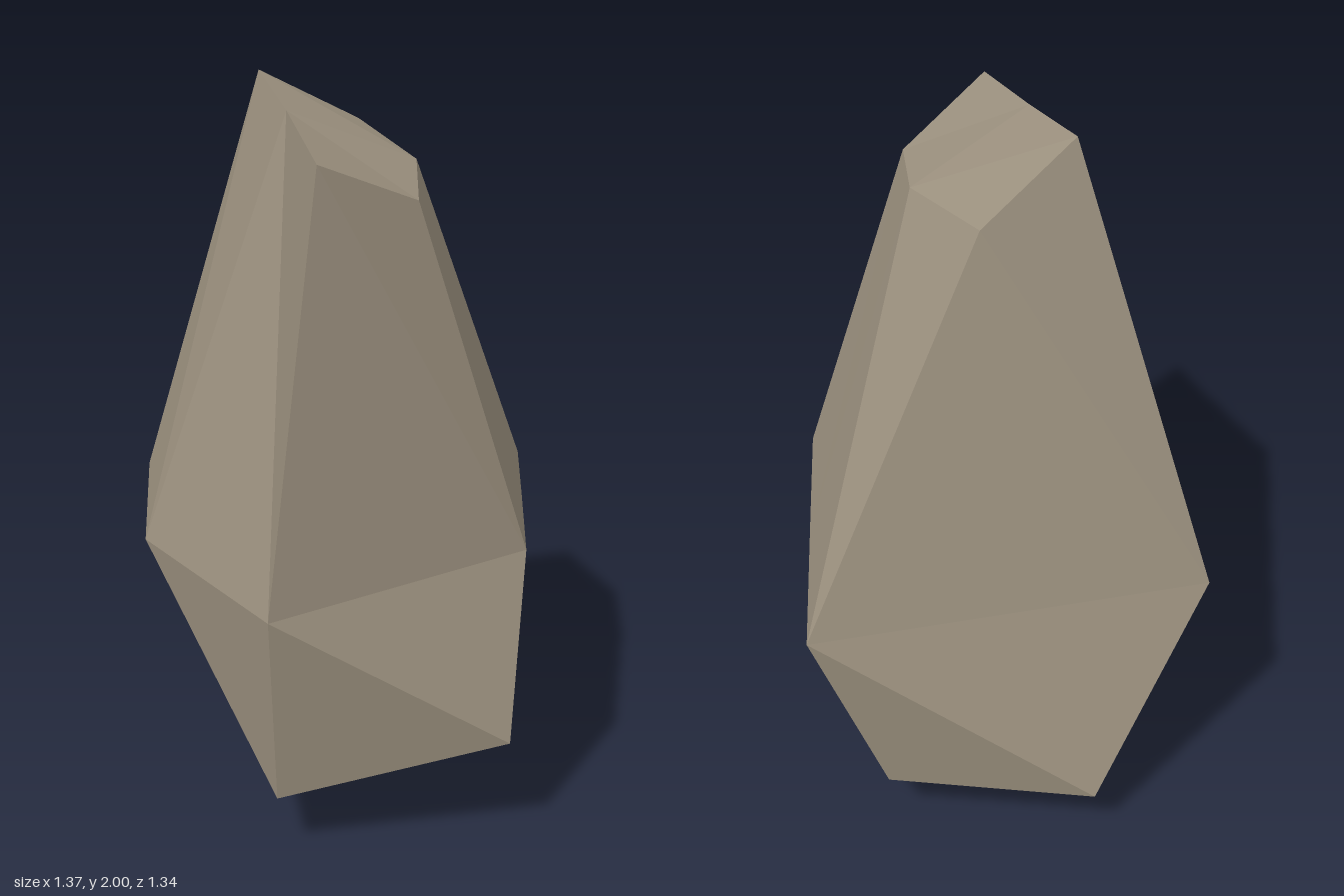
import * as THREE from 'three';

// Three six-cornered rings, each listed anticlockwise from above, starting front right.
const rings = [
  // top rim
  [[0.415, 1.875, 0.54], [0.43, 1.745, 0.215], [0.2, 1.79, 0], [-0.155, 1.84, -0.12], [-0.205, 2, 0.197], [0.085, 1.943, 0.35]],
  // waist
  [[0.365, 0.715, 0.672], [0.61, 0.8, -0.018], [0.29, 0.785, -0.345], [-0.03, 0.76, -0.672], [-0.685, 0.775, 0.25], [-0.24, 0.75, 0.6]],
  // foot
  [[0.3, 0.165, 0.595], [0.682, 0.3, 0.105], [0.232, 0, -0.2], [-0.135, 0.19, -0.48], [-0.612, 0.18, -0.13], [-0.156, 0.172, 0.232]],
];

// Triangles closing the top; the underside uses them reversed.
const cap = [[5, 0, 1], [5, 1, 2], [4, 5, 2], [4, 2, 3]];

function facetedGeometry() {
  const positions = [];
  const tri = (a, b, c) => positions.push(...a, ...b, ...c);

  // side facets between neighbouring rings
  for (let r = 0; r < 2; r++) {
    for (let i = 0; i < 6; i++) {
      const j = (i + 1) % 6;
      const up = rings[r], low = rings[r + 1];
      tri(up[i], low[i], low[j]);
      tri(up[i], low[j], up[j]);
    }
  }

  // top and underside
  for (const [a, b, c] of cap) {
    tri(rings[0][a], rings[0][b], rings[0][c]);
    tri(rings[2][a], rings[2][c], rings[2][b]);
  }

  const geometry = new THREE.BufferGeometry();
  geometry.setAttribute('position', new THREE.Float32BufferAttribute(positions, 3));
  geometry.computeVertexNormals();
  return geometry;
}

export function createModel() {
  const group = new THREE.Group();
  group.name = 'rock';

  const stone = new THREE.MeshStandardMaterial({ color: 0x9c917f, flatShading: true });
  stone.name = 'stone';

  const boulder = new THREE.Mesh(facetedGeometry(), stone);
  boulder.name = 'boulder';
  group.add(boulder);
  return group;
}
